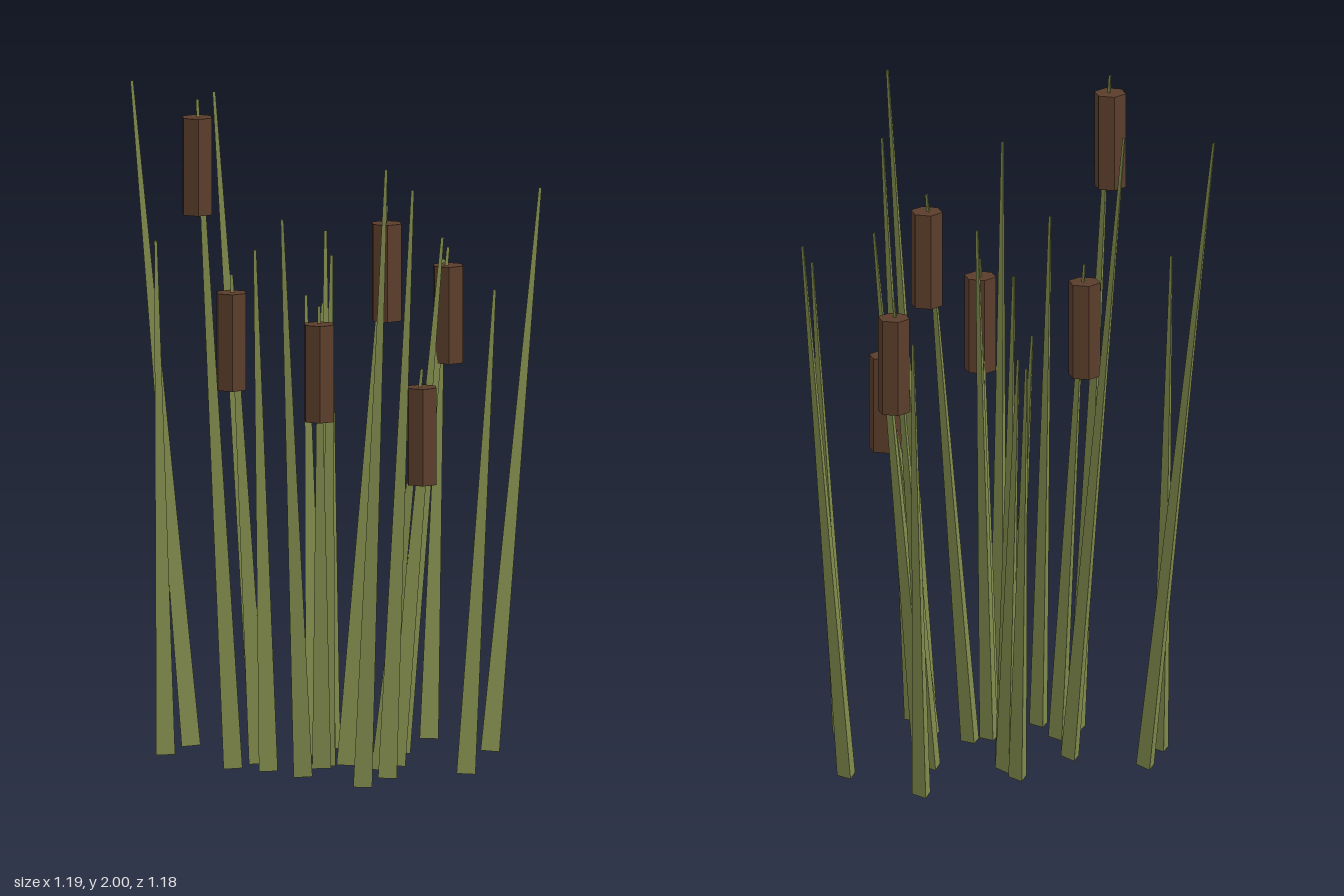
import * as THREE from 'three';

const green = new THREE.MeshStandardMaterial({ color: 0x828c4d, flatShading: true });
green.name = 'reedGreen';
const brown = new THREE.MeshStandardMaterial({ color: 0x5b3d2b, flatShading: true });
brown.name = 'seedHeadBrown';

// Each row: base x, base z, tip x, tip y, tip z
const blades = [
  [-0.43, -0.435, -0.593, 1.96, -0.585],
  [-0.24, -0.295, -0.362, 1.95, -0.435],
  [-0.515, -0.285, -0.542, 1.53, -0.305],
  [-0.04, -0.44, -0.035, 1.3, -0.54],
  [-0.025, -0.35, -0.01, 1.33, -0.54],
  [-0.043, -0.285, -0.037, 1.54, -0.395],
  [-0.08, -0.225, -0.095, 1.35, -0.39],
  [0.275, -0.52, 0.323, 1.42, -0.585],
  [0.438, -0.285, 0.59, 1.67, -0.338],
  [0.34, 0.115, 0.422, 1.45, 0.158],
  [0.105, 0.175, 0.172, 1.77, 0.29],
  [0.022, 0.325, 0.074, 1.88, 0.583],
  [-0.14, 0.13, -0.217, 1.7, 0.37],
  [0.145, -0.045, 0.28, 1.58, -0.008],
  [-0.06, -0.055, -0.05, 1.54, 0.05],
  [-0.235, 0.03, -0.276, 1.56, 0.064],
];
const cattails = [
  [-0.335, -0.025, -0.441, 2.0, 0.001],
  [-0.255, -0.105, -0.333, 1.46, -0.106],
  [-0.075, -0.02, -0.095, 1.41, 0.178],
  [0, -0.065, 0.115, 1.68, 0.01],
  [0.095, 0.025, 0.211, 1.21, 0.12],
  [0.175, -0.27, 0.322, 1.49, -0.373],
];

const UP = new THREE.Vector3(0, 1, 0);

// Three-sided tapered stalk leaning from its base to its tip
function makeStalk([bx, bz, tx, ty, tz], name) {
  const base = new THREE.Vector3(bx, 0.008, bz);
  const tip = new THREE.Vector3(tx, ty, tz);
  const axis = tip.clone().sub(base);
  const geometry = new THREE.CylinderGeometry(0.005, 0.032, axis.length(), 3, 1, false, Math.PI);
  const stalk = new THREE.Mesh(geometry, green);
  stalk.position.copy(base).add(tip).multiplyScalar(0.5);
  stalk.quaternion.setFromUnitVectors(UP, axis.normalize());
  stalk.name = name;
  return stalk;
}

export function createModel() {
  const model = new THREE.Group();
  model.name = 'cattailClump';

  // Plain leaves
  blades.forEach((row, i) => model.add(makeStalk(row, `blade${i + 1}`)));

  // Stems, each with an upright six-sided seed head just below the tip
  const headGeometry = new THREE.CylinderGeometry(0.048, 0.048, 0.288, 6);
  cattails.forEach((row, i) => {
    const cattail = new THREE.Group();
    cattail.name = `cattail${i + 1}`;
    const head = new THREE.Mesh(headGeometry, brown);
    head.name = 'seedHead';
    head.position.set(row[2], row[3] - 0.197, row[4]);
    cattail.add(makeStalk(row, 'stem'), head);
    model.add(cattail);
  });
  return model;
}
